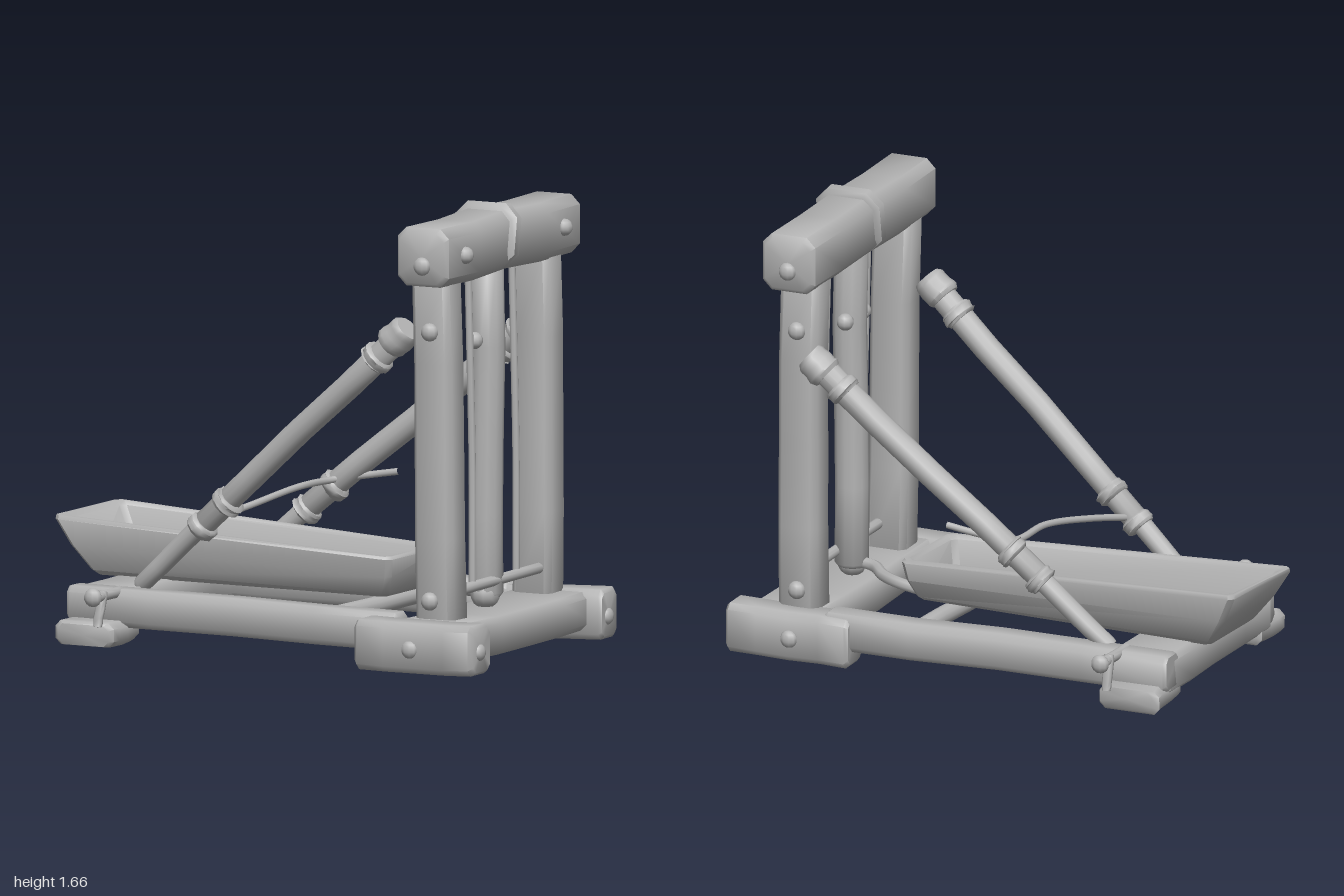
import * as THREE from 'three';
import { toCreasedNormals } from 'three/addons/utils/BufferGeometryUtils.js';

const V = (x, y, z) => new THREE.Vector3(x, y, z);

// Skins a list of equal point loops (counter-clockwise about the run) and caps both ends
function skin(rings, crease = 0.9) {
  const n = rings[0].length, pos = [], idx = [];
  rings.forEach(r => r.forEach(p => pos.push(p.x, p.y, p.z)));
  for (let i = 0; i < rings.length - 1; i++)
    for (let k = 0; k < n; k++) {
      const a = i * n + k, b = i * n + (k + 1) % n;
      idx.push(a, b, b + n, a, b + n, a + n);
    }
  [0, rings.length - 1].forEach((i, end) => {
    const c = rings[i].reduce((s, p) => s.add(p), V(0, 0, 0)).divideScalar(n);
    const ci = pos.length / 3;
    pos.push(c.x, c.y, c.z);
    for (let k = 0; k < n; k++) {
      const a = i * n + k, b = i * n + (k + 1) % n;
      end ? idx.push(ci, a, b) : idx.push(ci, b, a);
    }
  });
  const g = new THREE.BufferGeometry();
  g.setAttribute('position', new THREE.Float32BufferAttribute(pos, 3));
  g.setIndex(idx);
  return toCreasedNormals(g, crease);
}

export function createModel() {
  const model = new THREE.Group();
  const wood = new THREE.MeshStandardMaterial({ color: 0xb3b3b3 });
  wood.name = 'plain grey';

  let seed = 7;
  const jitter = s => {
    seed = (seed * 16807) % 2147483647;
    return (seed / 2147483647 - 0.5) * 2 * s;
  };
  const add = (name, geo) => {
    const m = new THREE.Mesh(geo, wood);
    m.name = name;
    model.add(m);
    return m;
  };

  // Hewn timber between two points; section is a list of [side, up] corners
  function timber(name, a, b, section, taper = 1, wobble = 0.005) {
    const d = b.clone().sub(a), len = d.length();
    d.normalize();
    const ref = Math.abs(d.y) > 0.95 ? V(0, 0, 1) : V(0, 1, 0);
    const side = d.clone().cross(ref).normalize(), up = side.clone().cross(d);
    const bev = Math.min(0.015 / len, 0.2);
    const rings = [0, bev, 0.25, 0.5, 0.75, 1 - bev, 1].map((t, i) => {
      const s = (i % 6 ? 1 : 0.86) * (1 + (taper - 1) * t);
      const os = jitter(wobble), ou = jitter(wobble);
      return section.map(([x, y]) => a.clone().addScaledVector(d, t * len)
        .addScaledVector(side, x * s + os).addScaledVector(up, y * s + ou));
    });
    return add(name, skin(rings));
  }
  // Chamfered rectangle, clockwise in (side, up)
  const rect = (w, h, c = 0.022) => {
    const x = w / 2, y = h / 2;
    return [[x, y - c], [x, c - y], [x - c, -y], [c - x, -y],
      [-x, c - y], [-x, y - c], [c - x, y], [x - c, y]];
  };
  const round = r => Array.from({ length: 12 }, (_, i) =>
    [r * Math.cos(i * Math.PI / 6), -r * Math.sin(i * Math.PI / 6)]);
  const tube = (name, pts, r) =>
    add(name, new THREE.TubeGeometry(new THREE.CatmullRomCurve3(pts), 32, r, 8));
  const knob = (name, p, r, sx = 1, sy = 1, sz = 1) => {
    const m = add(name, new THREE.SphereGeometry(r, 10, 7));
    m.position.copy(p);
    m.scale.set(sx, sy, sz);
  };

  // Base frame
  timber('frontSideBeam', V(-0.77, 0.145, 0.40), V(0.6, 0.135, 0.43), rect(0.11, 0.14));
  timber('backSideBeam', V(-0.77, 0.145, -0.43), V(0.6, 0.135, -0.455), rect(0.12, 0.14));
  timber('tailCrossBeam', V(-0.645, 0.13, -0.46), V(-0.645, 0.13, 0.42), rect(0.25, 0.15));
  timber('mastCrossBeam', V(0.77, 0.12, -0.47), V(0.77, 0.12, 0.5), rect(0.3, 0.14));
  timber('middleRod', V(0.275, 0.15, -0.43), V(0.235, 0.15, 0.42), round(0.034));
  timber('frontFootBlock', V(0.49, 0.105, 0.535), V(0.98, 0.105, 0.545), rect(0.145, 0.185));
  timber('backFootBlock', V(0.49, 0.105, -0.46), V(0.98, 0.105, -0.47), rect(0.14, 0.185));

  for (const s of [1, -1]) {
    // Tail feet, axle pegs and hanging wedges
    timber('tailFoot', V(-0.645, 0.065, s * 0.33), V(-0.645, 0.055, s * 0.555), rect(0.24, 0.09));
    timber('peg', V(-0.57, 0.2, s * 0.4), V(-0.57, 0.2, s * 0.62), round(0.02), 1, 0.002);
    knob('pegHead', V(-0.57, 0.205, s * 0.625), 0.035, 1, 1, 0.75);
    timber('pegWedge', V(-0.57, 0.22, s * 0.55), V(-0.575, 0.09, s * 0.58), rect(0.04, 0.03, 0.008), 0.8, 0.002);

    // Uprights with bolts
    const z = s > 0 ? 0.4 : -0.38, face = s > 0 ? 0.47 : -0.45;
    timber('upright', V(0.738, 0.17, z), V(0.725, 1.45, z), rect(0.16, 0.135), 0.96);
    for (const y of [0.26, 1.25]) knob('uprightBolt', V(0.73, y, face), 0.034, 1, 1, 0.8);
    knob('beamBolt', V(0.835, 1.53, s * 0.39), 0.032);
    knob('beamEndBolt', V(0.73, 1.5, s * 0.53), 0.034, 1, 1, 0.7);
    knob('blockBolt', V(0.72, 0.1, s > 0 ? 0.61 : -0.54), 0.033, 1, 1, 0.7);
    knob('blockEndBolt', V(0.975, 0.1, s > 0 ? 0.55 : -0.46), 0.032, 0.7);
    knob('midPostBolt', V(0.72, 1.17, 0.022 + s * 0.075), 0.032);
  }

  // Top beam with binding, centre post and hanging ropes
  const top = timber('topBeam', V(0.725, 1.53, -0.53), V(0.725, 1.53, 0.53), rect(0.21, 0.215, 0.035));
  top.name = 'topBeam';
  const bind = (name, z, w, h) => timber(name, V(0.725, 1.545, z - 0.03), V(0.725, 1.555, z + 0.03), rect(w, h, 0.05), 1, 0);
  bind('beamBinding', 0.008, 0.255, 0.235);
  timber('centrePost', V(0.73, 0.22, 0.022), V(0.73, 1.45, 0.022), round(0.063));
  knob('centrePostFoot', V(0.73, 0.23, 0.03), 0.055);
  timber('lowRail', V(0.77, 0.28, -0.34), V(0.77, 0.28, 0.36), round(0.02), 1, 0.003);
  for (const z of [0.185, -0.16])
    tube('hangingRope', [V(0.76, 0.29, z + 0.005), V(0.755, 0.7, z - 0.004), V(0.75, 1.1, z + 0.003), V(0.74, 1.43, z)], 0.014);

  // Diagonal braces: thin tenon, thick pole, collars and knobbed head
  function brace(name, a, b) {
    const at = t => a.clone().lerp(b, t);
    timber(name + 'Tenon', at(0), at(0.3), round(0.034), 1.15);
    timber(name + 'Pole', at(0.24), at(0.97), round(0.046), 1.08);
    for (const [t, r] of [[0.235, 0.058], [0.33, 0.06], [0.895, 0.062]])
      timber(name + 'Collar', at(t - 0.016), at(t + 0.016), round(r), 1, 0.004);
    timber(name + 'Head', at(0.945), at(1.01), round(0.066), 0.9, 0.004);
  }
  brace('frontBrace', V(-0.56, 0.2, 0.27), V(0.57, 1.23, 0.355));
  brace('backBrace', V(-0.5, 0.19, -0.385), V(0.66, 1.16, -0.47));

  // Loose rope between braces, and the curved arm from trough to post
  tube('braceRope', [V(-0.28, 0.46, 0.29), V(-0.2, 0.5, 0.1), V(-0.13, 0.54, -0.15),
    V(-0.1, 0.54, -0.37), V(0.02, 0.56, -0.41), V(0.14, 0.58, -0.42)], 0.013);
  tube('curvedArm', [V(0.36, 0.22, -0.15), V(0.47, 0.23, -0.13), V(0.56, 0.23, -0.07), V(0.63, 0.235, 0), V(0.73, 0.24, 0.02)], 0.022);

  // Trough with flared walls, hollow inside
  const rim = [V(-1, 0.415, 0.135), V(0.4, 0.355, 0.145), V(0.42, 0.355, -0.24), V(-0.96, 0.42, -0.31)];
  const base = [V(-0.85, 0.2, 0.09), V(0.36, 0.2, 0.1), V(0.37, 0.2, -0.2), V(-0.84, 0.2, -0.25)];
  const loop = (t, inset, lift = 0) => base.flatMap((p, i) => {
    const q = p.clone().lerp(rim[i], t);
    q.x += (i === 0 || i === 3 ? 1 : -1) * inset;
    q.z += (i < 2 ? -1 : 1) * inset;
    q.y += lift;
    // two points per corner soften it
    const c = 0.02, cx = (i === 0 || i === 3 ? c : -c), cz = (i < 2 ? -c : c);
    const alongX = q.clone().add(V(cx, 0, 0)), alongZ = q.clone().add(V(0, 0, cz));
    return i % 2 ? [alongX, alongZ] : [alongZ, alongX];
  });
  add('trough', skin([loop(0, 0.01), loop(0.08, 0), loop(0.5, -0.008), loop(0.93, 0), loop(1, 0.01),
    loop(1, 0.025), loop(0.93, 0.035), loop(0.2, 0.03)], 0.7));

  return model;
}
